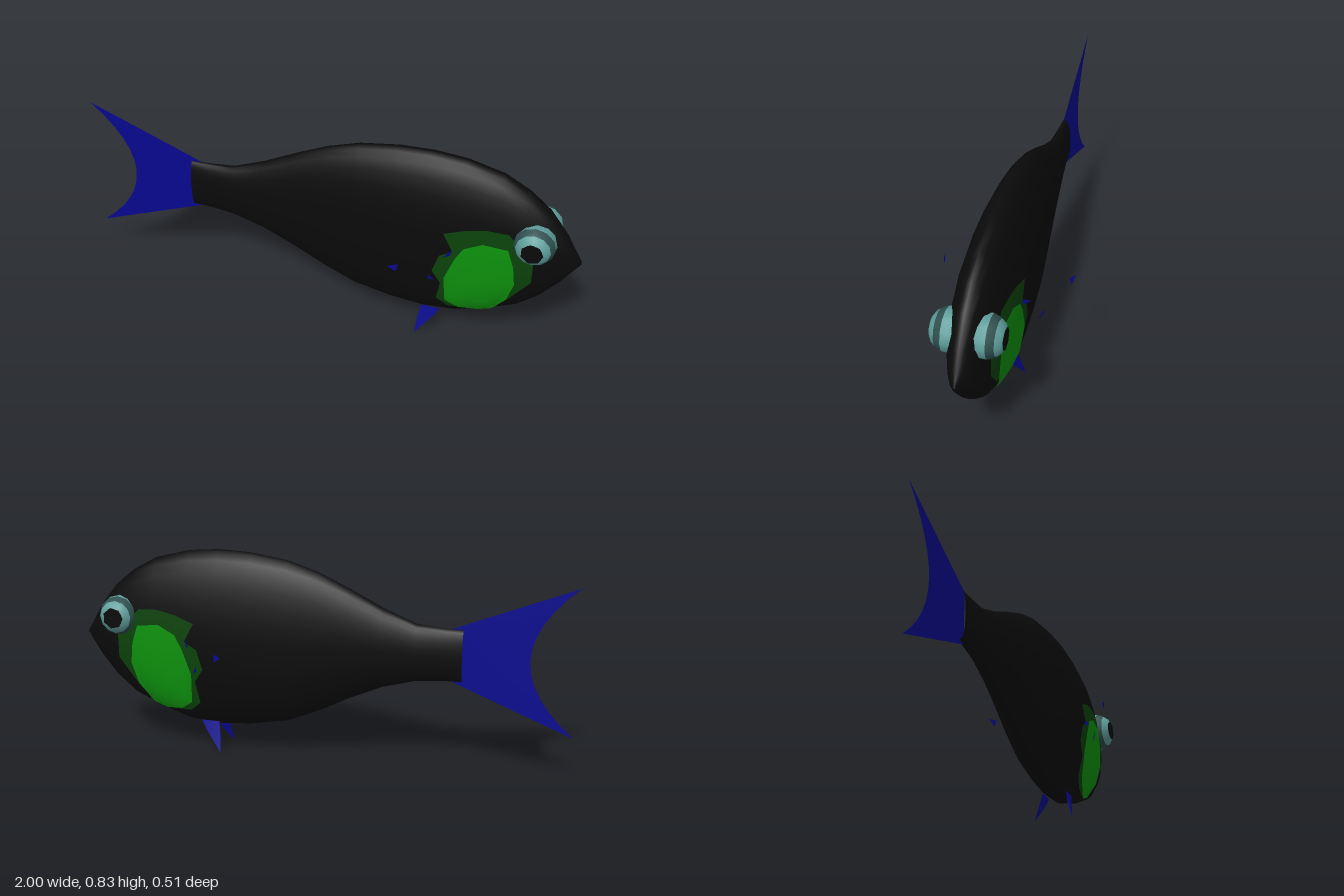
import * as THREE from 'three';

const mat = (name, color, side = THREE.FrontSide) => {
  const m = new THREE.MeshStandardMaterial({ color, side });
  m.name = name;
  return m;
};

// Body stations: x, bottom, top, half width
const STATIONS = [
  [-0.57, 0.362, 0.568, 0.024], [-0.5, 0.362, 0.57, 0.03], [-0.39, 0.353, 0.58, 0.041],
  [-0.26, 0.318, 0.632, 0.055], [-0.125, 0.258, 0.7, 0.068], [0, 0.195, 0.757, 0.08],
  [0.125, 0.143, 0.797, 0.092], [0.275, 0.115, 0.82, 0.101], [0.41, 0.104, 0.826, 0.105],
  [0.54, 0.116, 0.815, 0.104], [0.68, 0.163, 0.78, 0.097], [0.78, 0.208, 0.725, 0.086],
  [0.86, 0.272, 0.66, 0.07], [0.93, 0.353, 0.57, 0.045], [0.97, 0.412, 0.5, 0.027],
  [0.998, 0.446, 0.456, 0.004],
];
const BELLY = 2.5; // the belly is blunter than the back

function buildBody() {
  const pos = [], index = [], n = 28, last = STATIONS.length - 1;
  for (const [x, lo, hi, w] of STATIONS) {
    for (let j = 0; j < n; j++) {
      const a = (j / n) * Math.PI * 2, s = Math.sin(a), c = Math.cos(a);
      const e = s < -1e-6 ? 2 / BELLY : 1;
      pos.push(x, (lo + hi) / 2 + (hi - lo) / 2 * Math.sign(s) * Math.abs(s) ** e,
        w * Math.sign(c) * Math.abs(c) ** e);
    }
  }
  for (let i = 0; i < last; i++) {
    for (let j = 0; j < n; j++) {
      const k = (j + 1) % n, a = i * n + j, b = a + n, c = i * n + k, d = c + n;
      index.push(a, b, c, b, d, c);
    }
  }
  // End caps with their own vertices
  for (const i of [0, last]) {
    const base = pos.length / 3;
    for (let j = 0; j < n; j++) pos.push(...pos.slice((i * n + j) * 3, (i * n + j) * 3 + 3));
    for (let j = 1; j < n - 1; j++) {
      if (i) index.push(base, base + j, base + j + 1);
      else index.push(base, base + j + 1, base + j);
    }
  }
  return indexed(pos, index);
}

function indexed(pos, index) {
  const g = new THREE.BufferGeometry();
  g.setAttribute('position', new THREE.Float32BufferAttribute(pos, 3));
  g.setIndex(index);
  g.computeVertexNormals();
  return g;
}

// Half thickness of the body at a point on its flank
function flank(x, y) {
  let i = 0;
  while (i < STATIONS.length - 2 && STATIONS[i + 1][0] < x) i++;
  const A = STATIONS[i], B = STATIONS[i + 1], t = (x - A[0]) / (B[0] - A[0]);
  const [, lo, hi, w] = A.map((v, k) => v + (B[k] - v) * t);
  const d = (y - (lo + hi) / 2) / ((hi - lo) / 2), p = d < 0 ? BELLY : 2;
  return w * (1 - Math.min(0.96, Math.abs(d)) ** p) ** (1 / p);
}

// Thin patch draped over the flank, made of rings shrinking to a centre
function drape(outline, cx, cy, lift, side) {
  const pos = [], index = [], n = outline.length, rings = 6;
  for (let r = 0; r <= rings; r++) {
    for (const [px, py] of outline) {
      const x = cx + (px - cx) * r / rings, y = cy + (py - cy) * r / rings;
      pos.push(x, y, side * (flank(x, y) + lift));
    }
  }
  for (let r = 0; r < rings; r++) {
    for (let j = 0; j < n; j++) {
      const k = (j + 1) % n, a = r * n + j, b = r * n + k;
      index.push(a, a + n, b + n);
      if (r) index.push(a, b + n, b);
    }
  }
  return indexed(pos, index);
}

// Flat fan through a few corners, mirrored by side
function fin(corners, side) {
  const index = [];
  for (let i = 1; i < corners.length - 1; i++) index.push(0, i, i + 1);
  return indexed(corners.flatMap(([x, y, z]) => [x, y, z * side]), index);
}

const GILL_COVER = [
  [0.49, 0.54], [0.57, 0.57], [0.65, 0.585], [0.73, 0.58], [0.76, 0.55], [0.83, 0.48],
  [0.83, 0.37], [0.76, 0.28], [0.71, 0.19], [0.62, 0.165], [0.52, 0.17], [0.475, 0.21],
  [0.49, 0.3], [0.455, 0.355], [0.48, 0.435], [0.53, 0.465],
];
const CHEEK = [
  [0.57, 0.49], [0.64, 0.525], [0.735, 0.515], [0.76, 0.44], [0.77, 0.355], [0.745, 0.265],
  [0.69, 0.185], [0.635, 0.165], [0.56, 0.175], [0.51, 0.21], [0.503, 0.33], [0.54, 0.435],
];
const PELVIC_FIN = [
  [0.41, 0.125, 0.05], [0.4, 0.065, 0.062], [0.395, 0, 0.082], [0.465, 0.09, 0.056], [0.485, 0.125, 0.05],
];
const FIN_TIPS = [
  [[0.32, 0.457, 0.255], [0.355, 0.462, 0.237], [0.35, 0.432, 0.245]],
  [[0.455, 0.387, 0.17], [0.455, 0.365, 0.168], [0.478, 0.35, 0.15]],
  [[0.5, 0.45, 0.132], [0.53, 0.478, 0.1], [0.53, 0.447, 0.1]],
];

export function createModel() {
  const black = mat('body black', 0x0a0a0a);
  const navy = mat('fin blue', 0x08088f, THREE.DoubleSide);
  const darkGreen = mat('dark green', 0x0a420a, THREE.DoubleSide);
  const green = mat('bright green', 0x0d920d, THREE.DoubleSide);
  const teal = mat('eye teal', 0x5f9f9c);
  const darkTeal = mat('eye dark teal', 0x2f4f4f);

  const model = new THREE.Group();
  const add = (parent, name, geometry, material) => {
    const mesh = new THREE.Mesh(geometry, material);
    mesh.name = name;
    parent.add(mesh);
    return mesh;
  };

  add(model, 'body', buildBody(), black);

  // Forked tail, a single sheet on the centre plane
  const tail = new THREE.Shape();
  tail.moveTo(-0.53, 0.572);
  tail.lineTo(-1, 0.757);
  tail.quadraticCurveTo(-0.65, 0.465, -1, 0.175);
  tail.lineTo(-0.53, 0.36);
  add(model, 'tailFin', new THREE.ShapeGeometry(tail, 12), navy);

  for (const side of [1, -1]) {
    const label = side > 0 ? 'left' : 'right';
    add(model, label + 'GillCover', drape(GILL_COVER, 0.64, 0.37, 0.003, side), darkGreen);
    add(model, label + 'Cheek', drape(CHEEK, 0.64, 0.35, 0.007, side), green);
    add(model, label + 'PelvicFin', fin(PELVIC_FIN, side), navy);
    FIN_TIPS.forEach((t, i) => add(model, label + 'PectoralFinTip' + (i + 1), fin(t, side), navy));

    // Bulging eye: coloured bands turned around the sideways axis
    const eye = new THREE.Group();
    eye.name = label + 'Eye';
    eye.position.set(0.825, 0.545, 0);
    if (side < 0) eye.rotation.y = Math.PI;
    const bands = [
      [[[0.072, 0.025], [0.081, 0.055], [0.08, 0.078]], teal],
      [[[0.08, 0.078], [0.073, 0.095], [0.066, 0.105]], darkTeal],
      [[[0.066, 0.105], [0.055, 0.119], [0.04, 0.128]], teal],
    ];
    bands.forEach(([points, material], i) => {
      const g = new THREE.LatheGeometry(points.map(p => new THREE.Vector2(...p)), 12);
      add(eye, 'eyeBand' + (i + 1), g.rotateX(Math.PI / 2), material);
    });
    add(eye, 'pupil', new THREE.CircleGeometry(0.043, 7), black).position.z = 0.129;
    model.add(eye);
  }
  return model;
}
